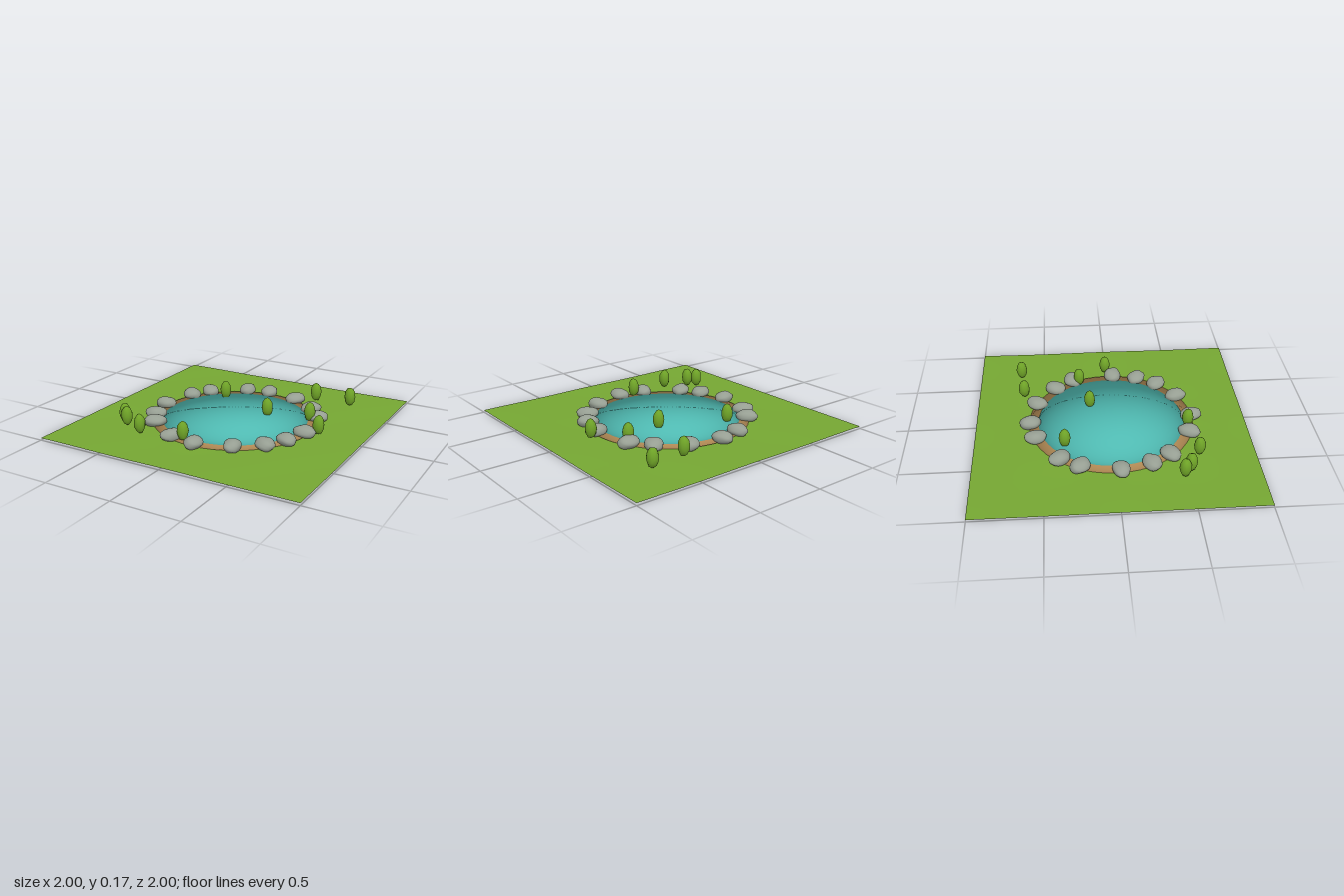
import * as THREE from 'three';
import { mergeVertices } from 'three/addons/utils/BufferGeometryUtils.js';

const material = (name, color, side = THREE.FrontSide) => {
  const m = new THREE.MeshStandardMaterial({ color, side });
  m.name = name;
  return m;
};

// Small seeded generator, returns 0..1
function seeded(seed) {
  let s = seed;
  return () => (s = (s * 16807) % 2147483647) / 2147483647;
}

// Move every vertex of a geometry by a rule
function reshape(geometry, rule) {
  const p = geometry.attributes.position;
  const v = new THREE.Vector3();
  for (let i = 0; i < p.count; i++) {
    rule(v.fromBufferAttribute(p, i));
    p.setXYZ(i, v.x, v.y, v.z);
  }
  return geometry;
}

// Smooth, slightly lumpy ball with unit radius
function lumpyBall(detail, amount, phase) {
  let g = new THREE.IcosahedronGeometry(1, detail);
  g.deleteAttribute('normal');
  g.deleteAttribute('uv');
  g = mergeVertices(g);
  reshape(g, (v) => v.multiplyScalar(1 + amount * (
    Math.sin(v.x * 3.1 + phase) * Math.cos(v.z * 3.7 - phase) + 0.6 * Math.sin(v.y * 5 + v.x * 4 + phase * 2))));
  g.computeVertexNormals();
  return g;
}

export function createModel() {
  const model = new THREE.Group();
  model.name = 'pond';
  const grass = material('grass green', 0x76a733, THREE.DoubleSide);
  const earth = material('earth brown', 0xb58d57);
  const water = material('water teal', 0x4fb9b1);
  const stone = material('stone grey', 0x979f93);
  const leaf = material('leaf green', 0x70a528);
  const add = (name, geometry, mat, parent = model) => {
    const mesh = new THREE.Mesh(geometry, mat);
    mesh.name = name;
    parent.add(mesh);
    return mesh;
  };

  // Gently rolling lawn; the swells rise into the underside of the pond bed
  const swells = [[-0.42, -0.31], [0.13, -0.41], [-0.2, 0.03], [0.32, 0.18],
    [0.01, 0.56], [0.42, -0.13], [-0.52, 0.1]];
  const lawn = new THREE.PlaneGeometry(2, 2, 24, 24).rotateX(-Math.PI / 2);
  reshape(lawn, (v) => {
    v.y = 0.0185 + 0.0015 * Math.sin(v.x * 7 + 1) * Math.cos(v.z * 6);
    for (const [x, z] of swells) {
      v.y += 0.006 * Math.exp(-((v.x - x) ** 2 + (v.z - z) ** 2) / 0.012);
    }
    v.y = Math.min(v.y, 0.026);
  });
  lawn.computeVertexNormals();
  add('lawn', lawn, grass);

  // Squashed balls that keep their round shading
  const disc = (radius, height) => reshape(new THREE.SphereGeometry(1, 48, 24),
    (v) => v.set(v.x * radius, height(v.y), v.z * radius));
  add('pondBed', disc(0.61, (y) => 0.024 + THREE.MathUtils.clamp(y * 0.02, -0.003, 0.006)), earth);
  add('waterSurface', disc(0.54, (y) => 0.031 + Math.max(y * 0.013, -0.003)), water);

  // Ring of stones, long side pointing to the pond centre
  const stoneSpots = [[-0.2, -0.56], [-0.02, -0.6], [0.23, -0.55], [0.43, -0.41],
    [0.54, -0.27], [0.59, 0.05], [0.54, 0.24], [0.45, 0.385], [0.27, 0.52], [0.01, 0.6],
    [-0.195, 0.56], [-0.45, 0.39], [-0.54, 0.25], [-0.6, 0.03], [-0.54, -0.25], [-0.45, -0.39]];
  const random = seeded(77);
  const stones = new THREE.Group();
  stones.name = 'stones';
  model.add(stones);
  stoneSpots.forEach(([x, z], i) => {
    const s = add('stone', lumpyBall(3, 0.05, i * 1.3), stone, stones);
    s.position.set(x, 0.05, z);
    s.scale.set(0.062 + random() * 0.006, 0.045, 0.08 + random() * 0.006);
    s.rotation.y = Math.atan2(x, z) + (random() - 0.5) * 0.5;
  });

  // Small upright shrubs
  const shrubSpots = [[-0.285, -0.35], [0.19, -0.15], [0.365, -0.65], [0.64, -0.675],
    [0.505, -0.22], [0.67, -0.005], [-0.67, 0.46], [-0.615, 0.51], [-0.44, 0.595], [-0.1, 0.56]];
  const shrubs = new THREE.Group();
  shrubs.name = 'shrubs';
  model.add(shrubs);
  shrubSpots.forEach(([x, z], i) => {
    const s = add('shrub', lumpyBall(1, 0.04, i * 0.9), leaf, shrubs);
    s.position.set(x, 0.098, z);
    s.scale.set(0.042, 0.073, 0.042);
    s.rotation.y = random() * Math.PI * 2;
  });
  return model;
}
